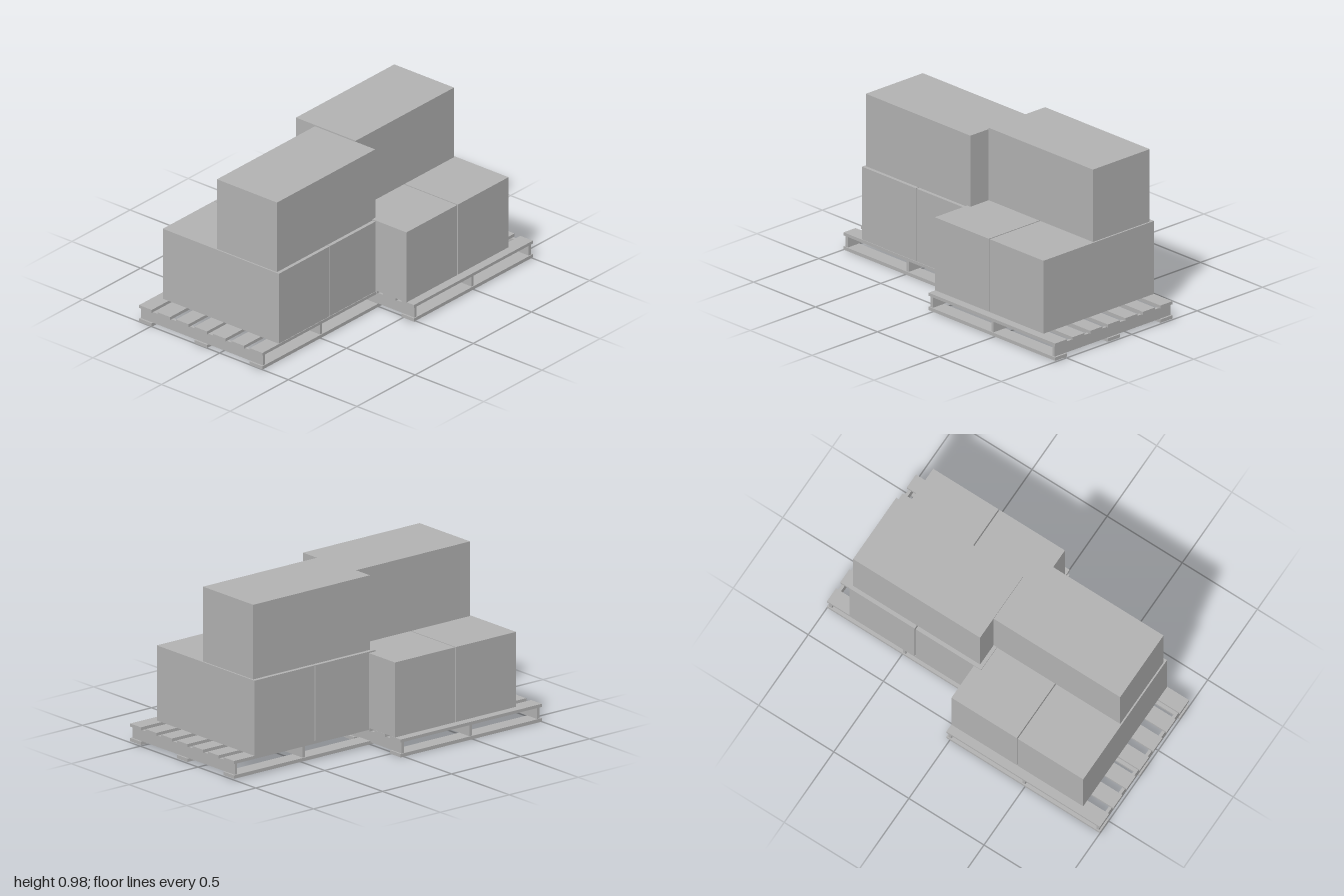
import * as THREE from 'three';

const grey = new THREE.MeshStandardMaterial({ color: 0xb2b2b2 });
grey.name = 'plain grey';

// Box given by its min and max extents on each axis
function block(parent, name, [x0, x1], [y0, y1], [z0, z1]) {
  const mesh = new THREE.Mesh(new THREE.BoxGeometry(x1 - x0, y1 - y0, z1 - z0), grey);
  mesh.position.set((x0 + x1) / 2, (y0 + y1) / 2, (z0 + z1) / 2);
  mesh.name = name;
  parent.add(mesh);
}

// Pallet with seven deck boards, three stringers and three base boards
function pallet(name, x0, y0, z0) {
  const group = new THREE.Group();
  group.name = name;
  const length = 1.023, depth = 0.898, board = 0.092;
  const x = [x0, x0 + length];
  for (let i = 0; i < 7; i++) {
    const z = z0 + (i * (depth - board)) / 6;
    block(group, 'deckBoard', x, [y0 + 0.086, y0 + 0.104], [z, z + board]);
  }
  for (let i = 0; i < 3; i++) {
    const z = z0 + (i * (depth - board)) / 2;
    block(group, 'baseBoard', x, [y0, y0 + 0.02], [z, z + board]);
    const sx = x0 + 0.011 + (i * (length - 0.04)) / 2;
    block(group, 'stringer', [sx, sx + 0.018], [y0 + 0.02, y0 + 0.086], [z0 + 0.006, z0 + depth - 0.006]);
  }
  return group;
}

export function createModel() {
  const model = new THREE.Group();
  model.name = 'loadedPallets';

  // Right pallet (the model's own right) with two crates and one laid across
  const right = pallet('rightPallet', -1, 0, -0.587);
  block(right, 'lowerCrate', [-0.855, -0.419], [0.104, 0.541], [-0.537, 0.308]);
  block(right, 'lowerCrate', [-0.413, 0.022], [0.104, 0.541], [-0.537, 0.308]);
  block(right, 'upperCrate', [-0.846, -0.001], [0.541, 0.976], [-0.15, 0.287]);

  // Left pallet, shifted forward and slightly raised
  const left = pallet('leftPallet', -0.023, 0.007, -0.311);
  block(left, 'lowerCrate', [-0.026, 0.409], [0.111, 0.549], [-0.311, 0.535]);
  block(left, 'lowerCrate', [0.416, 0.851], [0.111, 0.549], [-0.311, 0.535]);
  block(left, 'upperCrate', [-0.004, 0.841], [0.549, 0.984], [-0.288, 0.147]);

  model.add(right, left);
  return model;
}
